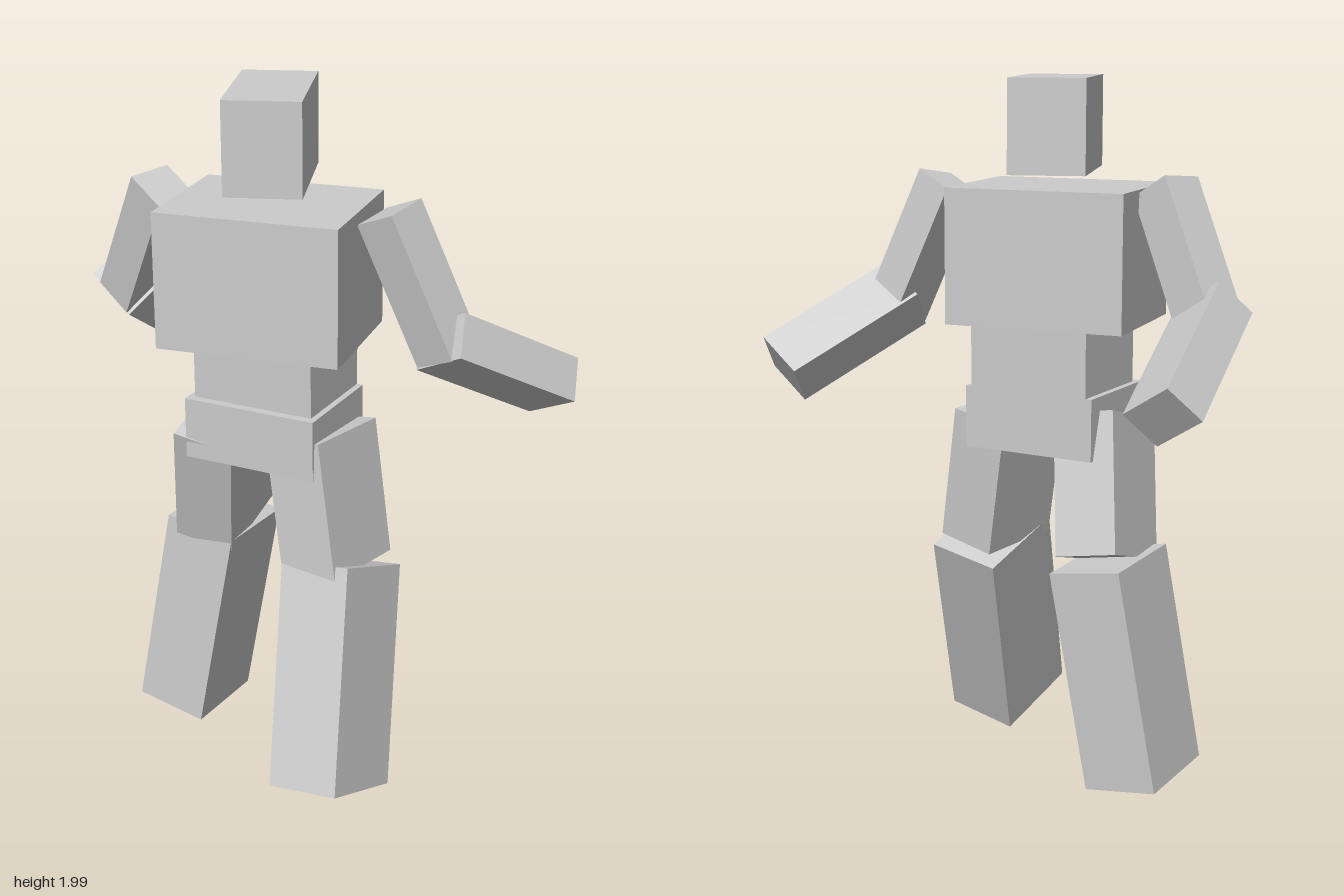
import * as THREE from 'three';

const material = new THREE.MeshStandardMaterial({ color: 0xcccccc, flatShading: true });

// One box of a given size, aimed by its long axis (up) and its facing (front)
function block(name, size, center, up, front) {
  const mesh = new THREE.Mesh(new THREE.BoxGeometry(...size), material);
  const y = new THREE.Vector3(...up).normalize();
  const x = new THREE.Vector3().crossVectors(y, new THREE.Vector3(...front)).normalize();
  const z = new THREE.Vector3().crossVectors(x, y);
  mesh.quaternion.setFromRotationMatrix(new THREE.Matrix4().makeBasis(x, y, z));
  mesh.position.set(...center);
  mesh.name = name;
  return mesh;
}

// Upright box turned about the vertical axis
function upright(name, size, center, yaw) {
  return block(name, size, center, [0, 1, 0], [Math.sin(yaw), 0, Math.cos(yaw)]);
}

// Sizes shared by the left and right limbs
const UPPER_ARM = [0.131, 0.417, 0.127];
const FOREARM = [0.176, 0.427, 0.127];
const THIGH = [0.182, 0.397, 0.278];
const SHIN = [0.22, 0.637, 0.284];

export function createModel() {
  const model = new THREE.Group();
  model.name = 'blockFigure';

  // Head and torso, each twisted a little further than the one above
  model.add(
    upright('head', [0.211, 0.255, 0.388], [-0.141, 1.872, 0.02], 0.065),
    upright('chest', [0.517, 0.38, 0.408], [-0.137, 1.51, 0.073], -0.153),
    upright('waist', [0.363, 0.18, 0.29], [-0.131, 1.23, 0.036], -0.296),
    upright('pelvis', [0.4, 0.176, 0.315], [-0.135, 1.052, 0.048], -0.296)
  );

  // Arms, bent at the elbows
  model.add(
    block('leftUpperArm', UPPER_ARM, [0.278, 1.51, 0.139], [-0.17, 0.38, -0.027], [-0.06, -0.03, 0.107]),
    block('leftForearm', FOREARM, [0.491, 1.266, 0.056], [-0.296, 0.195, 0.235], [0, -0.1, 0.08]),
    block('rightUpperArm', UPPER_ARM, [-0.524, 1.527, -0.075], [0.15, 0.36, 0.148], [-0.079, -0.016, 0.1]),
    block('rightForearm', FOREARM, [-0.561, 1.282, -0.302], [-0.082, 0.222, 0.357], [-0.083, -0.09, 0.027])
  );

  // Legs in mid stride, left foot forward
  model.add(
    block('leftThigh', THIGH, [0.032, 0.857, 0.113], [-0.14, 1, -0.122], [-0.122, 0.013, 0.248]),
    block('leftShin', SHIN, [0.075, 0.368, 0.26], [-0.005, 0.588, -0.243], [-0.116, 0.09, 0.242]),
    block('rightThigh', THIGH, [-0.301, 0.865, -0.034], [0.09, 1, 0.335], [-0.297, -0.302, 0.981]),
    block('rightShin', SHIN, [-0.379, 0.363, -0.111], [0.111, 0.627, 0.01], [-0.09, 0.018, 0.27])
  );

  return model;
}
